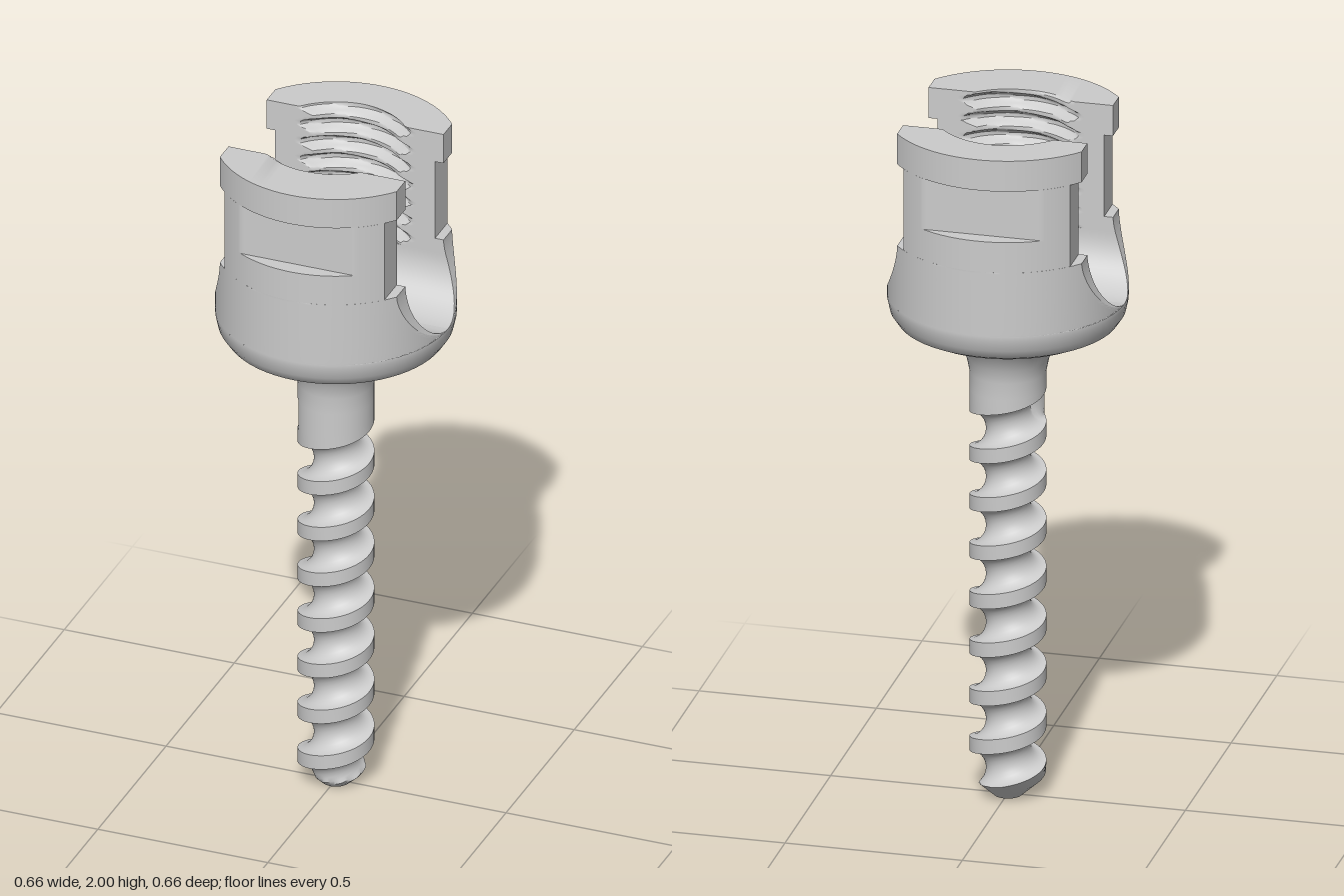
import * as THREE from 'three';
import { toCreasedNormals } from 'three/addons/utils/BufferGeometryUtils.js';

const R = 0.33;            // head radius
const SLOT = 0.14;         // half width of the rod channel
const SLOT_Y = 1.62;       // centre height of the channel's round floor
const BORE_Y = 1.63;       // floor of the threaded bore
const PITCH = 0.143;       // shank thread pitch
const material = new THREE.MeshStandardMaterial({ color: 0xcccccc, side: THREE.DoubleSide });

const clamp = THREE.MathUtils.clamp;

// Skin between equal-length rows of points, with sharp edges kept
function skin(rows, closed, crease = 0.6) {
  const n = rows[0].length, pos = rows.flat(2), index = [];
  for (let j = 0; j < rows.length - 1; j++) {
    for (let i = 0; i < (closed ? n : n - 1); i++) {
      const k = (i + 1) % n;
      const a = j * n + i, b = j * n + k, c = b + n, d = a + n;
      index.push(a, d, c, a, c, b);
    }
  }
  const g = new THREE.BufferGeometry();
  g.setAttribute('position', new THREE.Float32BufferAttribute(pos, 3));
  g.setIndex(index);
  g.scale(100, 100, 100); // finer vertex matching while creasing
  return toCreasedNormals(g, crease).scale(0.01, 0.01, 0.01);
}

function addMesh(parent, geometry, name) {
  const mesh = new THREE.Mesh(geometry, material);
  mesh.name = name;
  parent.add(mesh);
  return mesh;
}

// Half width in x: concave flare, recessed flat, then top lip
function sideFlat(y) {
  if (y < 1.67) return Math.min(R, 0.26 + 0.07 * Math.pow((1.67 - y) / 0.19, 1.6));
  return y < 1.91 ? 0.235 : 0.26;
}

// Radius of the internally threaded bore
function boreRadius(angle, y) {
  const t = y / 0.055 + angle / (2 * Math.PI);
  const tri = Math.abs((t - Math.floor(t)) * 2 - 1);
  return 0.19 + 0.026 * clamp(tri * 1.8 - 0.4, 0, 1);
}

// One upright arm of the head, lofted from horizontal slices
function armGeometry(phase) {
  const N = 48, ys = [];
  for (let i = 0; i <= 14; i++) ys.push(SLOT_Y - SLOT * Math.cos((i / 14) * Math.PI / 2));
  for (const y of [BORE_Y, 1.67, 1.76, 1.91]) ys.push(y - 1e-4, y + 1e-4);
  for (let i = 1; i <= 64; i++) ys.push(BORE_Y + (2 - BORE_Y) * i / 64);
  ys.sort((a, b) => a - b);

  let lastOuter;
  const rows = ys.map((y) => {
    const X = sideFlat(y);
    const h = y < SLOT_Y ? Math.sqrt(Math.max(0, SLOT ** 2 - (SLOT_Y - y) ** 2)) : SLOT;
    const limit = y > 1.76 && y < 1.91 ? 0.285 : R; // tool groove on the face
    const start = Math.acos(X / R);
    const outer = [], inner = [];
    for (let i = 0; i <= N; i++) {
      const a = start + (Math.PI - 2 * start) * i / N;
      outer.push([R * Math.cos(a), y, Math.min(limit, R * Math.sin(a))]);
      if (i === 0 || i === N) {
        inner.push([i ? X : -X, y, h]);
      } else {
        const b = Math.PI * (1 - i / N);
        const r = boreRadius(b + phase, y);
        inner.push([r * Math.cos(b), y, y > BORE_Y ? Math.max(h, r * Math.sin(b)) : h]);
      }
    }
    lastOuter = outer;
    return [...outer, ...inner];
  });
  rows.push([...lastOuter, ...[...lastOuter].reverse()]); // top face
  return skin(rows, true);
}

// Shank with a round-bottomed helical groove and a tapered tip
function shankGeometry() {
  const N = 64, S = 12, top = 1.2, rows = [];
  for (let k = -1; k <= 10; k++) {
    for (let s = 0; s <= S; s++) {
      const q = -Math.cos(Math.PI * s / S); // -1..1 across the groove
      const row = [];
      for (let i = 0; i <= N; i++) {
        const a = -2 * Math.PI * i / N;
        const turn = k - i / N;
        const y = clamp(PITCH * (turn + 0.25 + 0.35 * q), 0, top);
        const depth = 0.045 * clamp((7.84 - turn) / 0.06, 0, 1);
        let r = 0.105 - depth * Math.sqrt(Math.max(0, 1 - q * q));
        if (y >= top) r = 0.105;
        r = Math.min(r, 0.04 + 1.1 * y);
        row.push([r * Math.sin(a), y, r * Math.cos(a)]);
      }
      rows.push(row);
    }
  }
  rows.unshift(rows[0].map(() => [0, 0, 0])); // tip face
  return skin(rows, false, 0.7);
}

export function createModel() {
  const model = new THREE.Group();
  model.name = 'channelHeadScrew';

  addMesh(model, shankGeometry(), 'threadedShank');

  // Neck flaring into the rounded base of the head
  const profile = [
    [0.105, 1.2], [0.105, 1.25], [0.113, 1.29], [0.132, 1.33], [0.16, 1.365], [0.19, 1.382],
    [0.235, 1.386], [0.275, 1.393], [0.305, 1.408], [0.323, 1.435], [R, 1.468], [R, 1.48],
  ].map(([x, y]) => new THREE.Vector2(x, y));
  addMesh(model, new THREE.LatheGeometry(profile, 64), 'neckAndHeadBase');

  // Two facing arms with the rod channel between them
  const head = new THREE.Group();
  head.name = 'head';
  addMesh(head, armGeometry(0), 'frontArm');
  addMesh(head, armGeometry(Math.PI), 'backArm').rotation.y = Math.PI;
  model.add(head);

  return model;
}
